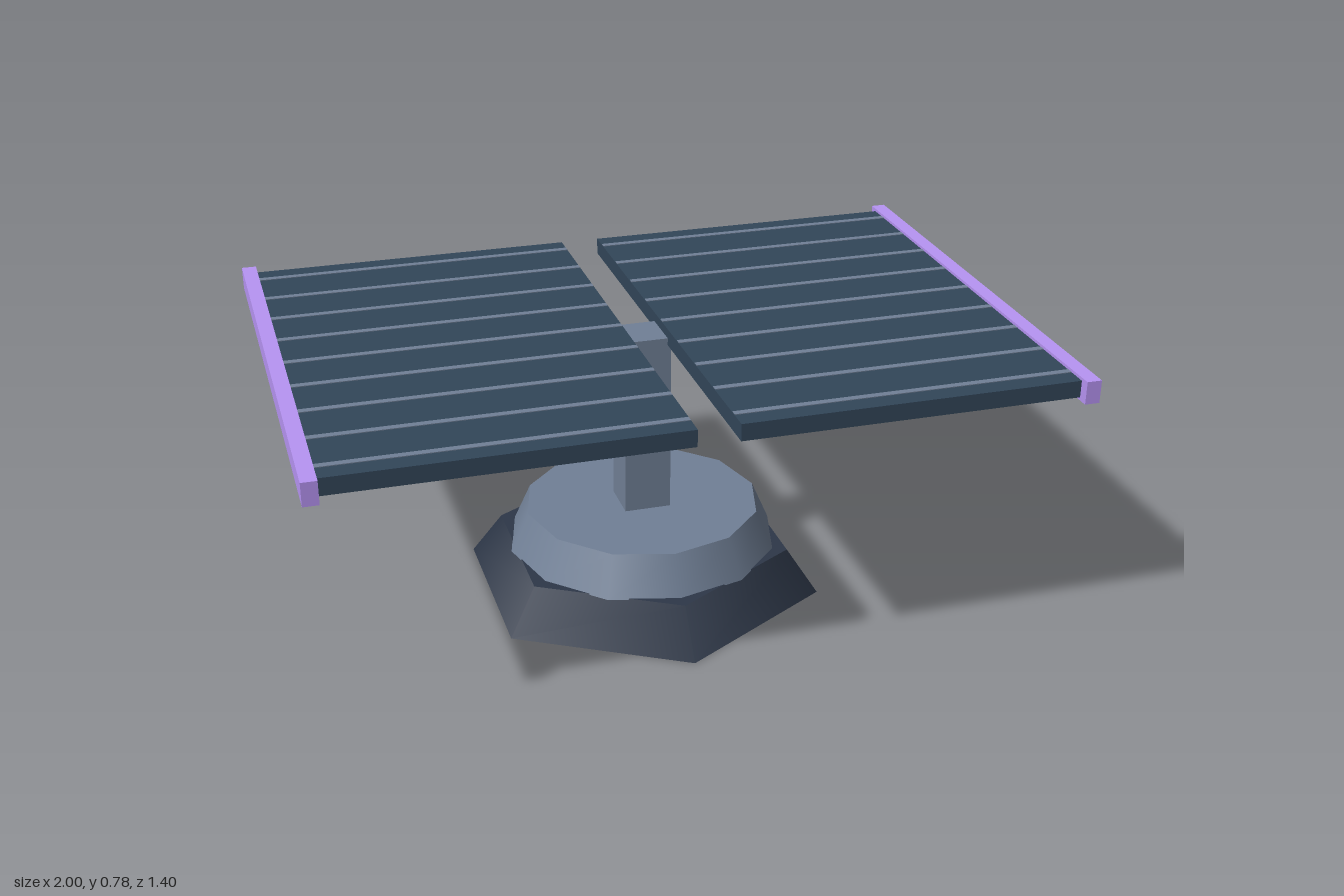
import * as THREE from 'three';

const material = (color) => new THREE.MeshStandardMaterial({ color });
const steel = material(0x718096);
const dark = material(0x2d3748);
const cell = material(0x324659);
const violet = material(0xb794f4);

function add(parent, name, geometry, mat, x, y, z) {
  const mesh = new THREE.Mesh(geometry, mat);
  mesh.name = name;
  mesh.position.set(x, y, z);
  parent.add(mesh);
  return mesh;
}

// One panel wing; side is +1 (left) or -1 (right)
function createWing(side) {
  const wing = new THREE.Group();
  wing.name = side > 0 ? 'leftWing' : 'rightWing';
  const midY = 0.748;
  add(wing, 'panel', new THREE.BoxGeometry(0.905, 0.046, 1.344), cell, side * 0.5075, midY, 0);

  // Thin dividing strips, just proud of both panel faces
  const strip = new THREE.BoxGeometry(0.903, 0.05, 0.018);
  for (let i = -4; i <= 4; i++) {
    add(wing, 'dividerStrip', strip, steel, side * 0.5075, midY, i * 0.1525);
  }

  // Outer edge rail
  add(wing, 'edgeRail', new THREE.BoxGeometry(0.04, 0.062, 1.4), violet, side * 0.98, midY, 0);
  return wing;
}

export function createModel() {
  const model = new THREE.Group();
  model.name = 'solarPanelStation';

  // Hexagonal foot, twelve-sided collar and square post
  add(model, 'foot', new THREE.CylinderGeometry(0.42, 0.51, 0.125, 6), dark, 0, 0.0625, 0);
  add(model, 'collar', new THREE.CylinderGeometry(0.33, 0.38, 0.113, 12), steel, 0, 0.1785, 0);
  add(model, 'post', new THREE.BoxGeometry(0.13, 0.545, 0.126), steel, 0, 0.4725, 0);

  for (const side of [-1, 1]) model.add(createWing(side));
  return model;
}
